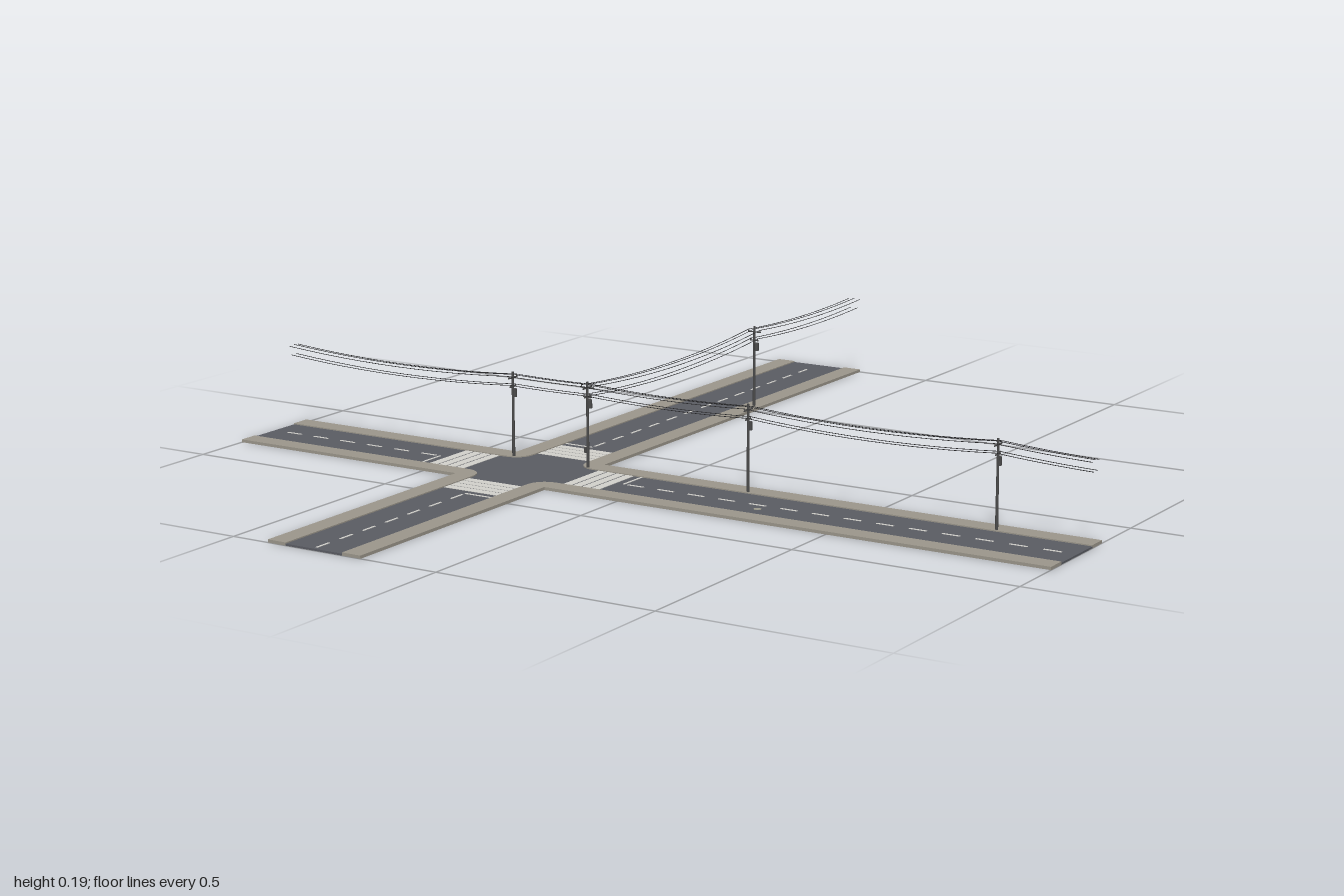
import * as THREE from 'three';

const CX = -0.297, CZ = 0.251;              // crossing centre
const H = 0.07, W = 0.115, R = 0.05;        // road half width, outer half width, corner radius
const E = 1 - CX, WEST = 1 + CX, N = 1 + CZ, S = 1 - CZ; // arm lengths
const ROAD_Y = 0.004, WALK_Y = 0.0065;

const mat = (name, color) => {
  const m = new THREE.MeshStandardMaterial({ color });
  m.name = name;
  return m;
};

export function createModel() {
  const root = new THREE.Group();
  root.name = 'streetCrossing';
  const asphalt = mat('asphalt', 0x5a5c63);
  const pavement = mat('pavement', 0x9b968b);
  const paint = mat('roadPaint', 0xd2d1cc);
  const poleMat = mat('poleGrey', 0x4a4a4a);
  const wireMat = mat('wireBlack', 0x2b2b2d);
  const cover = mat('manholeCover', 0x9c9a8c);

  const add = (parent, name, geo, material, x = 0, y = 0, z = 0) => {
    const m = new THREE.Mesh(geo, material);
    m.name = name;
    m.position.set(x, y, z);
    parent.add(m);
    return m;
  };
  const slab = (name, shape, height, material) => {
    const g = new THREE.ExtrudeGeometry(shape, { depth: height, bevelEnabled: false, curveSegments: 8 });
    g.rotateX(-Math.PI / 2);
    add(root, name, g, material, CX, 0, CZ);
  };

  // Asphalt cross with flared corners
  const road = new THREE.Shape();
  road.moveTo(E, -H);
  road.lineTo(E, H);
  road.lineTo(H + R, H);
  road.quadraticCurveTo(H, H, H, H + R);
  road.lineTo(H, N);
  road.lineTo(-H, N);
  road.lineTo(-H, H + R);
  road.quadraticCurveTo(-H, H, -H - R, H);
  road.lineTo(-WEST, H);
  road.lineTo(-WEST, -H);
  road.lineTo(-H - R, -H);
  road.quadraticCurveTo(-H, -H, -H, -H - R);
  road.lineTo(-H, -S);
  road.lineTo(H, -S);
  road.lineTo(H, -H - R);
  road.quadraticCurveTo(H, -H, H + R, -H);
  slab('road', road, ROAD_Y, asphalt);

  // One L-shaped sidewalk per quadrant
  for (const sx of [1, -1]) for (const sy of [1, -1]) {
    const lx = sx > 0 ? E : WEST, ly = sy > 0 ? N : S;
    const s = new THREE.Shape();
    s.moveTo(sx * lx, sy * H);
    s.lineTo(sx * lx, sy * W);
    s.lineTo(sx * W, sy * W);
    s.lineTo(sx * W, sy * ly);
    s.lineTo(sx * H, sy * ly);
    s.lineTo(sx * H, sy * (H + R));
    s.quadraticCurveTo(sx * H, sy * H, sx * (H + R), sy * H);
    slab('sidewalk', s, WALK_Y, pavement);
  }

  // Markings on each arm, laid out along local +x and turned into place
  const arms = [[0, E], [Math.PI / 2, N], [Math.PI, WEST], [-Math.PI / 2, S]];
  arms.forEach(([angle, length]) => {
    const arm = new THREE.Group();
    arm.name = 'roadMarkings';
    arm.position.set(CX, ROAD_Y + 0.0005, CZ);
    arm.rotation.y = angle;
    root.add(arm);
    const mark = (name, x, z, w, d) => add(arm, name, new THREE.BoxGeometry(w, 0.001, d), paint, x, 0, z);
    for (let i = 0; i < 4; i++) mark('crosswalkBand', 0.14 + i * 0.0235, 0, 0.0195, 2 * H - 0.002);
    mark('stopLine', 0.24, -H / 2, 0.005, H);
    for (let x = 0.27; x + 0.02 < length; x += 0.075) mark('centreDash', x, 0, 0.04, 0.005);
  });

  add(root, 'manhole', new THREE.CylinderGeometry(0.008, 0.008, 0.001, 16), cover, 0.29, ROAD_Y + 0.0005, 0.28);

  // Utility poles: crossarm directions along z, x or both
  const LX = -0.2, LZ = 0.173;              // the two wire lines
  const TOP = 0.187, LOW = 0.166;
  const pole = (x, z, alongZ, alongX, box) => {
    const p = new THREE.Group();
    p.name = 'utilityPole';
    p.position.set(x, 0, z);
    root.add(p);
    add(p, 'poleShaft', new THREE.CylinderGeometry(0.0025, 0.0035, 0.19, 8), poleMat, 0, 0.1, 0);
    const turns = [];
    if (alongZ) turns.push(Math.PI / 2);
    if (alongX) turns.push(0);
    for (const t of turns) {
      const arm = new THREE.Group();
      arm.name = 'crossarms';
      arm.rotation.y = t;
      p.add(arm);
      for (const [y, w] of [[TOP - 0.005, 0.034], [LOW - 0.004, 0.022]]) {
        add(arm, 'crossarm', new THREE.BoxGeometry(w, 0.0025, 0.0025), poleMat, 0, y, 0);
        for (const s of [-1, 1])
          add(arm, 'insulator', new THREE.CylinderGeometry(0.001, 0.0014, 0.004, 6), poleMat, s * (w / 2 - 0.002), y + 0.003, 0);
      }
      add(arm, 'transformer', new THREE.CylinderGeometry(0.0055, 0.0055, 0.018, 10), poleMat, 0.006, 0.147, 0);
    }
    if (box) add(p, 'meterBox', new THREE.BoxGeometry(0.006, 0.012, 0.006), poleMat, -0.003, 0.045, 0.003);
  };
  pole(-0.395, LZ, true, false, false);
  pole(LX, LZ, true, true, true);
  pole(0.203, LZ, true, false, false);
  pole(0.785, LZ, true, false, false);
  pole(LX, -0.525, false, true, false);

  // Sagging wires strung between supports; the outer spans stop at the model's edge
  const wires = [[-0.015, TOP], [0, TOP + 0.002], [0.015, TOP], [-0.009, LOW], [0.009, LOW]];
  const string = (name, supports, place) => {
    for (let i = 0; i + 1 < supports.length; i++) {
      const a = supports[i], b = supports[i + 1], span = b - a;
      const lo = Math.max(a, -1), hi = Math.min(b, 1);
      for (const [off, y] of wires) {
        const pts = [];
        for (let k = 0; k <= 10; k++) {
          const u = lo + (hi - lo) * k / 10, t = (u - a) / span;
          pts.push(place(u, y - 0.14 * span * span * t * (1 - t), off));
        }
        add(root, name, new THREE.TubeGeometry(new THREE.CatmullRomCurve3(pts), 12, 0.0007, 4), wireMat);
      }
    }
  };
  string('streetWire', [-0.98 - 0.02, -0.395, LX, 0.203, 0.785, 1.36], (u, y, o) => new THREE.Vector3(u, y, LZ + o));
  string('sideStreetWire', [-1.1, -0.525, LZ], (u, y, o) => new THREE.Vector3(LX + o, y, u));

  return root;
}
